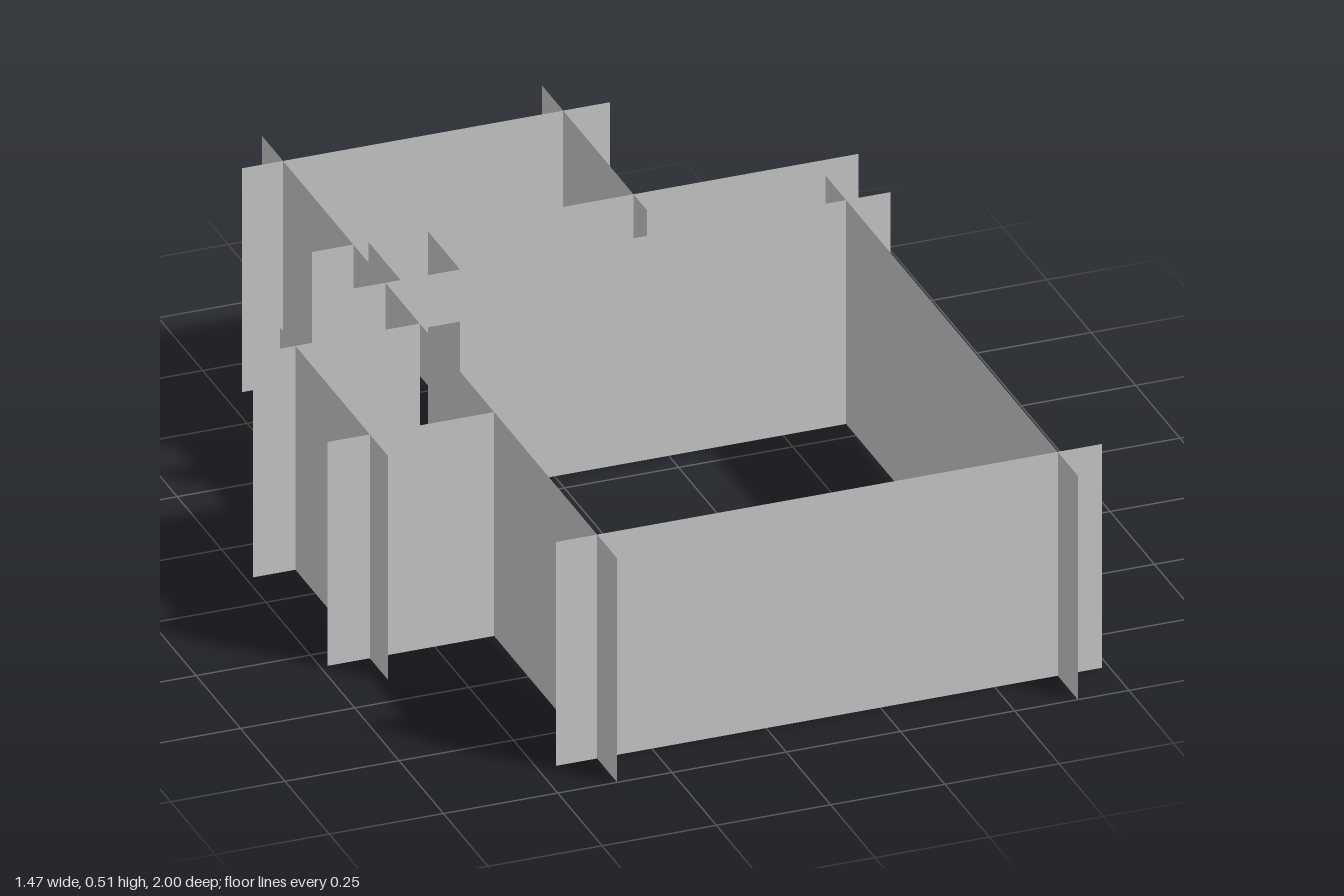
import * as THREE from 'three';

const HEIGHT = 0.515;
const DOOR = 0.395;
const material = new THREE.MeshStandardMaterial({ color: 0xcccccc, side: THREE.DoubleSide });

// Thin upright wall from a to b, with an optional doorway [from, to] reaching the floor
function wallGeometry(a, b, door) {
  const points = [[a, 0]];
  if (door) points.push([door[0], 0], [door[0], DOOR], [door[1], DOOR], [door[1], 0]);
  points.push([b, 0], [b, HEIGHT], [a, HEIGHT]);
  return new THREE.ShapeGeometry(new THREE.Shape(points.map(([u, v]) => new THREE.Vector2(u, v))));
}

export function createModel() {
  const model = new THREE.Group();
  model.name = 'floorPlanWalls';

  const add = (name, geometry) => {
    const mesh = new THREE.Mesh(geometry, material);
    mesh.name = name;
    model.add(mesh);
  };
  // Wall running along x at depth z
  const wallX = (name, z, a, b, door) => add(name, wallGeometry(a, b, door).translate(0, 0, z));
  // Wall running along z at side position x
  const wallZ = (name, x, a, b, door) =>
    add(name, wallGeometry(a, b, door).rotateY(-Math.PI / 2).translate(x, 0, 0));

  const passage = [-0.337, -0.207];

  // Main room
  wallX('frontWall', 0.887, -0.46, 0.735);
  wallX('mainRoomBackWall', -0.305, -0.46, 0.735, passage);
  wallZ('mainRoomLeftWall', 0.638, -0.42, 1);
  wallZ('longRightWall', -0.37, -1, 1, [-0.112, 0.307]);

  // Back room
  wallX('backRoomFrontWall', -0.486, -0.46, 0.735, passage);
  wallX('backWall', -0.882, -0.46, 0.345);
  wallZ('backRoomLeftWall', 0.243, -1, -0.41);

  // Passage between the two rooms
  for (const x of passage) wallZ('passageSide', x, -0.486, -0.305);

  // Side bay
  for (const z of [-0.112, 0.307]) wallX('bayEndWall', z, -0.735, -0.37);
  wallZ('bayOuterWall', -0.642, -0.2, 0.41);

  return model;
}
